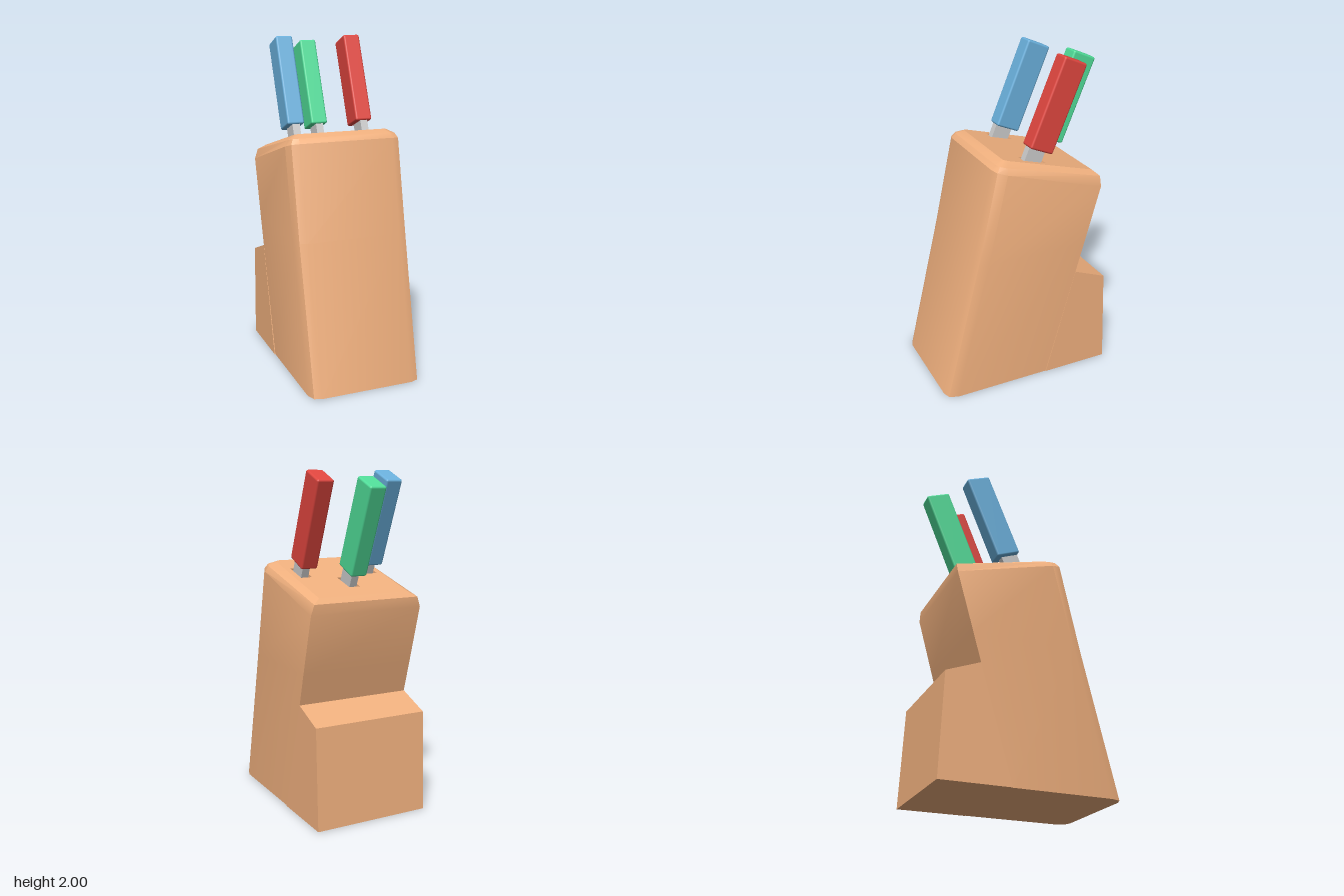
import * as THREE from 'three';
import { toCreasedNormals } from 'three/addons/utils/BufferGeometryUtils.js';
import { RoundedBoxGeometry } from 'three/addons/geometries/RoundedBoxGeometry.js';

const TILT = -0.394; // lean of the knives towards the back
const HALF = 0.355;  // half width of the block

// Plan outline with chamfered front corners and square back corners;
// height runs linearly from front (yf) to back (yb).
function ring(w, zf, yf, zb, yb, k) {
  const half = [[w, zf - 0.07 * k], [w - 0.02 * k, zf - 0.016 * k], [w - 0.065 * k, zf]];
  const plan = [...half, ...half.map(([x, z]) => [-x, z]).reverse(), [-w, zb], [w, zb]];
  return plan.map(([x, z]) => new THREE.Vector3(x, yf + (yb - yf) * (zf - z) / (zf - zb), z));
}

// Skin between rings, closed at the bottom and open at the top
function loft(rings) {
  const pos = [];
  const tri = (...pts) => pts.forEach((p) => pos.push(p.x, p.y, p.z));
  const n = rings[0].length;
  for (let i = 0; i < rings.length - 1; i++) {
    for (let j = 0; j < n; j++) {
      const a = rings[i][j], b = rings[i][(j + 1) % n];
      const a2 = rings[i + 1][j], b2 = rings[i + 1][(j + 1) % n];
      tri(b, a, a2);
      tri(b, a2, b2);
    }
  }
  for (let j = 1; j < n - 1; j++) tri(rings[0][0], rings[0][j], rings[0][j + 1]);
  const g = new THREE.BufferGeometry();
  g.setAttribute('position', new THREE.Float32BufferAttribute(pos, 3));
  return toCreasedNormals(g, 0.5);
}

export function createModel() {
  const model = new THREE.Group();
  model.name = 'knifeBlock';
  const wood = new THREE.MeshStandardMaterial({ color: 0xf0b07e });
  const slotWood = new THREE.MeshStandardMaterial({ color: 0xf0b07e, side: THREE.BackSide });
  const steel = new THREE.MeshStandardMaterial({ color: 0xcccccc });
  const add = (parent, name, geometry, material) => {
    const mesh = new THREE.Mesh(geometry, material);
    mesh.name = name;
    parent.add(mesh);
    return mesh;
  };

  // Leaning block with bevelled top rim
  const rings = [
    ring(HALF - 0.005, 0.56, 0, -0.11, 0, 1),
    ring(HALF, 0.35, 0.865, -0.351, 0.865, 1),
    ring(HALF, 0.23, 1.42, -0.45, 1.22, 1),
    ring(HALF - 0.02, 0.205, 1.447, -0.452, 1.28, 0.75),
    ring(HALF - 0.065, 0.155, 1.465, -0.42, 1.31, 0.4),
  ];
  add(model, 'block', loft(rings), wood);

  // Step behind the block
  const profile = new THREE.Shape([[0.11, 0], [0.53, 0], [0.505, 0.6], [0.3, 0.68]]
    .map(([x, y]) => new THREE.Vector2(x, y)));
  const step = add(model, 'backStep',
    new THREE.ExtrudeGeometry(profile, { depth: 2 * HALF, bevelEnabled: false }), wood);
  step.rotation.y = Math.PI / 2;
  step.position.x = -HALF;

  // Sloping top face, local y running down towards the back
  const top = new THREE.Group();
  top.name = 'top';
  top.position.set(0, 1.465, 0.155);
  top.rotation.x = Math.atan2(-0.575, -0.155);
  model.add(top);
  const stretch = Math.hypot(0.575, 0.155) / 0.575;
  const along = (z) => (0.155 - z) * stretch;
  const face = new THREE.Shape(rings[4].map((p) => new THREE.Vector2(p.x, along(p.z))));

  const knives = [
    { name: 'left', x: 0.22, y: 1.72, z: -0.198, slotZ: 0.015, color: 0xe0463f },
    { name: 'right', x: -0.22, y: 1.72, z: -0.198, slotZ: 0.015, color: 0x6ab0dc },
    { name: 'middle', x: 0, y: 1.685, z: -0.385, slotZ: -0.16, color: 0x50dc98 },
  ];
  const slotW = 0.07, slotL = 0.15, slotDepth = 0.16;
  for (const k of knives) {
    // Slot opening and its walls
    const v = along(k.slotZ), h = slotW / 2;
    face.holes.push(new THREE.Path([[-h, 0], [-h, slotL], [h, slotL], [h, 0]]
      .map(([x, y]) => new THREE.Vector2(k.x + x, v + y))));
    add(top, k.name + 'Slot', new THREE.BoxGeometry(slotW, slotL, slotDepth), slotWood)
      .position.set(k.x, v + slotL / 2, -slotDepth / 2);

    // Handle and blade
    const knife = new THREE.Group();
    knife.name = k.name + 'Knife';
    knife.position.set(k.x, k.y, k.z);
    knife.rotation.x = TILT;
    add(knife, 'handle', new RoundedBoxGeometry(0.105, 0.547, 0.155, 2, 0.012),
      new THREE.MeshStandardMaterial({ color: k.color }));
    add(knife, 'blade', new THREE.BoxGeometry(0.046, 0.25, 0.11), steel)
      .position.set(0, -0.375, 0.014);
    model.add(knife);
  }
  add(top, 'topFace', new THREE.ShapeGeometry(face), wood);
  return model;
}
